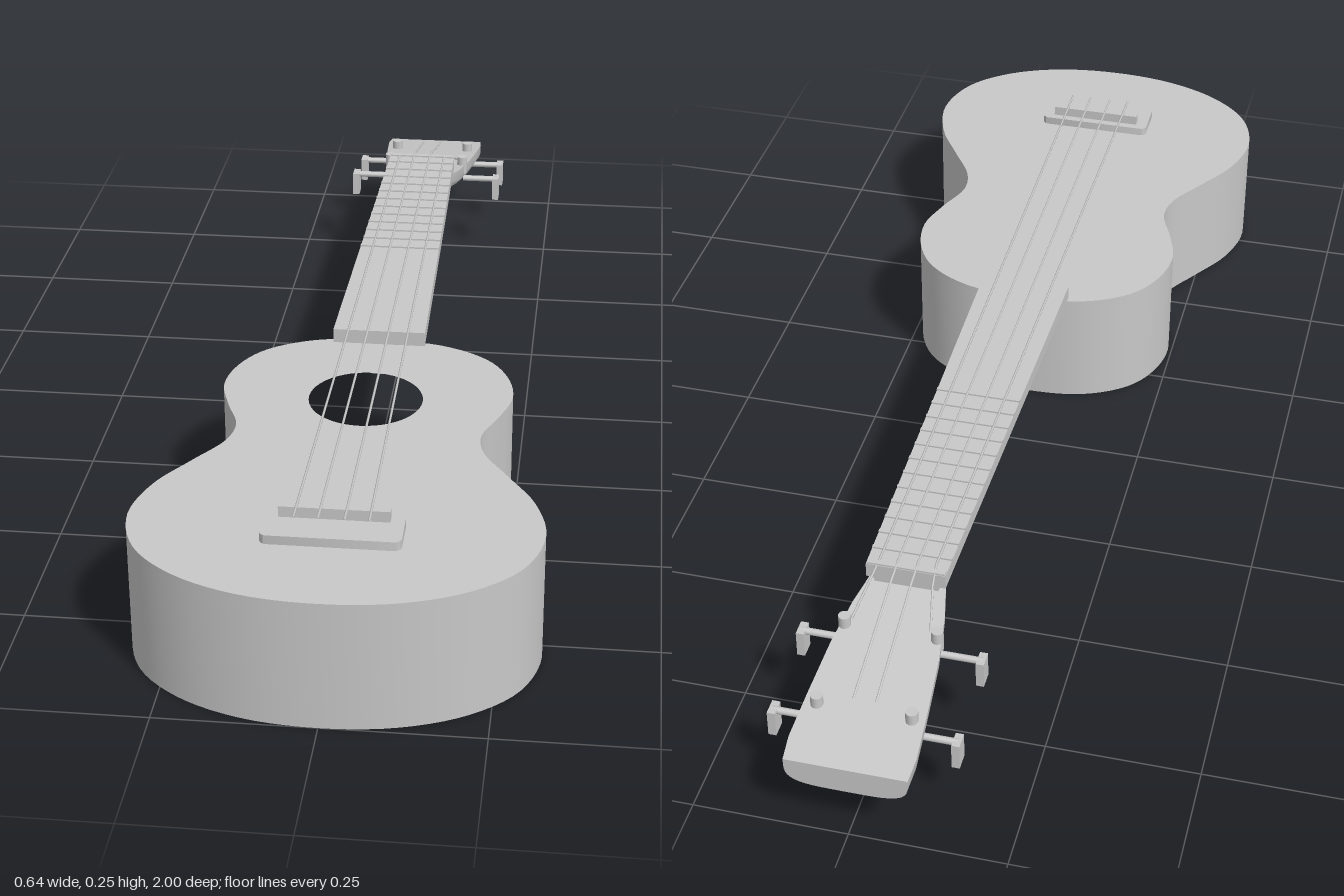
import * as THREE from 'three';
import { toCreasedNormals } from 'three/addons/utils/BufferGeometryUtils.js';

const grey = new THREE.MeshStandardMaterial({ color: 0xc8c8c8 });
grey.name = 'plain grey';

export function createModel() {
  const root = new THREE.Group();
  root.name = 'ukulele';

  const add = (name, geometry, x = 0, y = 0, z = 0, parent = root) => {
    const mesh = new THREE.Mesh(geometry, grey);
    mesh.name = name;
    mesh.position.set(x, y, z);
    parent.add(mesh);
    return mesh;
  };

  // Horizontal slab: shape y becomes z, top face at the given height
  const slab = (name, shape, top, depth) => {
    const g = new THREE.ExtrudeGeometry(shape, { depth, bevelEnabled: false, curveSegments: 24 });
    g.rotateX(Math.PI / 2);
    return add(name, toCreasedNormals(g, 0.6), 0, top, 0);
  };

  // Flat-topped loft along -z; stations are [z, top, half width, depth]
  const loft = (stations, power, n = 20) => {
    const pos = [], idx = [], m = n + 1;
    for (const [z, top, w, d] of stations) {
      for (let j = 0; j <= n; j++) {
        const a = (Math.PI * j) / n, c = Math.cos(a), s = Math.max(0, Math.sin(a));
        pos.push(w * Math.sign(c) * Math.abs(c) ** power, top - d * s ** power, z);
      }
    }
    const last = (stations.length - 1) * m;
    for (let i = 0; i < last; i += m) {
      for (let j = 0; j < m; j++) {
        const k = (j + 1) % m;
        idx.push(i + j, i + k, i + m + k, i + j, i + m + k, i + m + j);
      }
    }
    for (let j = 1; j < n; j++) idx.push(0, j + 1, j, last, last + j, last + j + 1);
    const g = new THREE.BufferGeometry();
    g.setAttribute('position', new THREE.Float32BufferAttribute(pos, 3));
    g.setIndex(idx);
    return toCreasedNormals(g, 0.6);
  };

  // Body outline: one half as [x, z], mirrored and smoothed
  const half = [
    [0, 1], [0.12, 0.986], [0.22, 0.943], [0.29, 0.875], [0.318, 0.78], [0.297, 0.685],
    [0.25, 0.605], [0.208, 0.535], [0.2, 0.48], [0.225, 0.41], [0.243, 0.34],
    [0.229, 0.265], [0.19, 0.205], [0.11, 0.16], [0, 0.148],
  ];
  const mirrored = half.slice(1, -1).reverse().map(([x, z]) => [-x, z]);
  const outline = new THREE.CatmullRomCurve3(
    [...half, ...mirrored].map(([x, z]) => new THREE.Vector3(x, z, 0)), true,
  ).getPoints(140).slice(0, -1).map((p) => new THREE.Vector2(p.x, p.y));
  const inner = outline.map((p) => new THREE.Vector2(p.x * 0.97, 0.6 + (p.y - 0.6) * 0.97));

  // Hollow body: back, sides, and soundboard with a round hole
  const rim = new THREE.Shape(outline);
  rim.holes.push(new THREE.Path(inner));
  const board = new THREE.Shape(outline);
  board.holes.push(new THREE.Path().absarc(0, 0.37, 0.095, 0, Math.PI * 2, true));
  slab('back', new THREE.Shape(outline), 0.01, 0.01);
  slab('sides', rim, 0.205, 0.195);
  slab('soundboard', board, 0.215, 0.01);

  // Bridge plate with rounded corners, and saddle
  const bx = 0.107, b0 = 0.762, b1 = 0.846, r = 0.012;
  const plate = new THREE.Shape();
  plate.absarc(bx - r, b0 + r, r, -Math.PI / 2, 0);
  plate.absarc(bx - r, b1 - r, r, 0, Math.PI / 2);
  plate.absarc(-bx + r, b1 - r, r, Math.PI / 2, Math.PI);
  plate.absarc(-bx + r, b0 + r, r, Math.PI, Math.PI * 1.5);
  slab('bridge', plate, 0.23, 0.015);
  add('saddle', new THREE.BoxGeometry(0.17, 0.018, 0.014), 0, 0.239, 0.783);

  // Neck, fretboard and tilted headstock
  add('neck', loft([
    [0.16, 0.224, 0.07, 0.07], [0, 0.224, 0.067, 0.062], [-0.2, 0.224, 0.063, 0.055],
    [-0.655, 0.224, 0.055, 0.054],
  ], 0.9));
  const fb = new THREE.Shape([[-0.08, 0.165], [0.08, 0.165], [0.065, -0.658], [-0.065, -0.658]]
    .map(([x, z]) => new THREE.Vector2(x, z)));
  slab('fretboard', fb, 0.24, 0.025);
  add('headstock', loft([
    [-0.635, 0.208, 0.06, 0.038], [-0.7, 0.196, 0.075, 0.042], [-0.78, 0.181, 0.087, 0.043],
    [-0.88, 0.162, 0.095, 0.043], [-0.96, 0.147, 0.1, 0.045], [-1, 0.139, 0.097, 0.046],
  ], 0.5));

  // Frets and nut
  const halfWidth = (z) => 0.065 + (0.015 * (z + 0.658)) / 0.823;
  for (let i = 1; i <= 12; i++) {
    const z = -0.655 + 0.0385 * i;
    add('fret', new THREE.BoxGeometry(halfWidth(z) * 2, 0.006, 0.006), 0, 0.24, z);
  }
  add('nut', new THREE.BoxGeometry(0.128, 0.006, 0.01), 0, 0.24, -0.652);

  // Tuning pegs: post, side shaft and hanging button
  for (const side of [-1, 1]) {
    for (const [z, top] of [[-0.745, 0.188], [-0.895, 0.159]]) {
      const peg = new THREE.Group();
      peg.name = 'tuningPeg';
      peg.position.set(0, top, z);
      root.add(peg);
      add('post', new THREE.CylinderGeometry(0.01, 0.01, 0.036, 16), side * 0.075, 0, 0, peg);
      const shaft = add('shaft', new THREE.CylinderGeometry(0.006, 0.006, 0.07, 12), side * 0.113, -0.03, 0, peg);
      shaft.rotation.z = Math.PI / 2;
      add('button', new THREE.BoxGeometry(0.013, 0.046, 0.028), side * 0.146, -0.048, 0, peg);
    }
  }

  // Strings run from the bridge over the nut to the headstock
  for (const side of [-1, 1]) {
    for (const [bridgeX, nutX, endX, endY, endZ] of [
      [0.057, 0.045, 0.064, 0.2, -0.745], [0.02, 0.016, 0.018, 0.178, -0.89],
    ]) {
      const path = new THREE.CurvePath();
      const pts = [[bridgeX, 0.251, 0.825], [nutX, 0.244, -0.655], [endX, endY, endZ]]
        .map(([x, y, z]) => new THREE.Vector3(side * x, y, z));
      path.add(new THREE.LineCurve3(pts[0], pts[1]));
      path.add(new THREE.LineCurve3(pts[1], pts[2]));
      add('string', new THREE.TubeGeometry(path, 40, 0.002, 6, false));
    }
  }
  return root;
}
